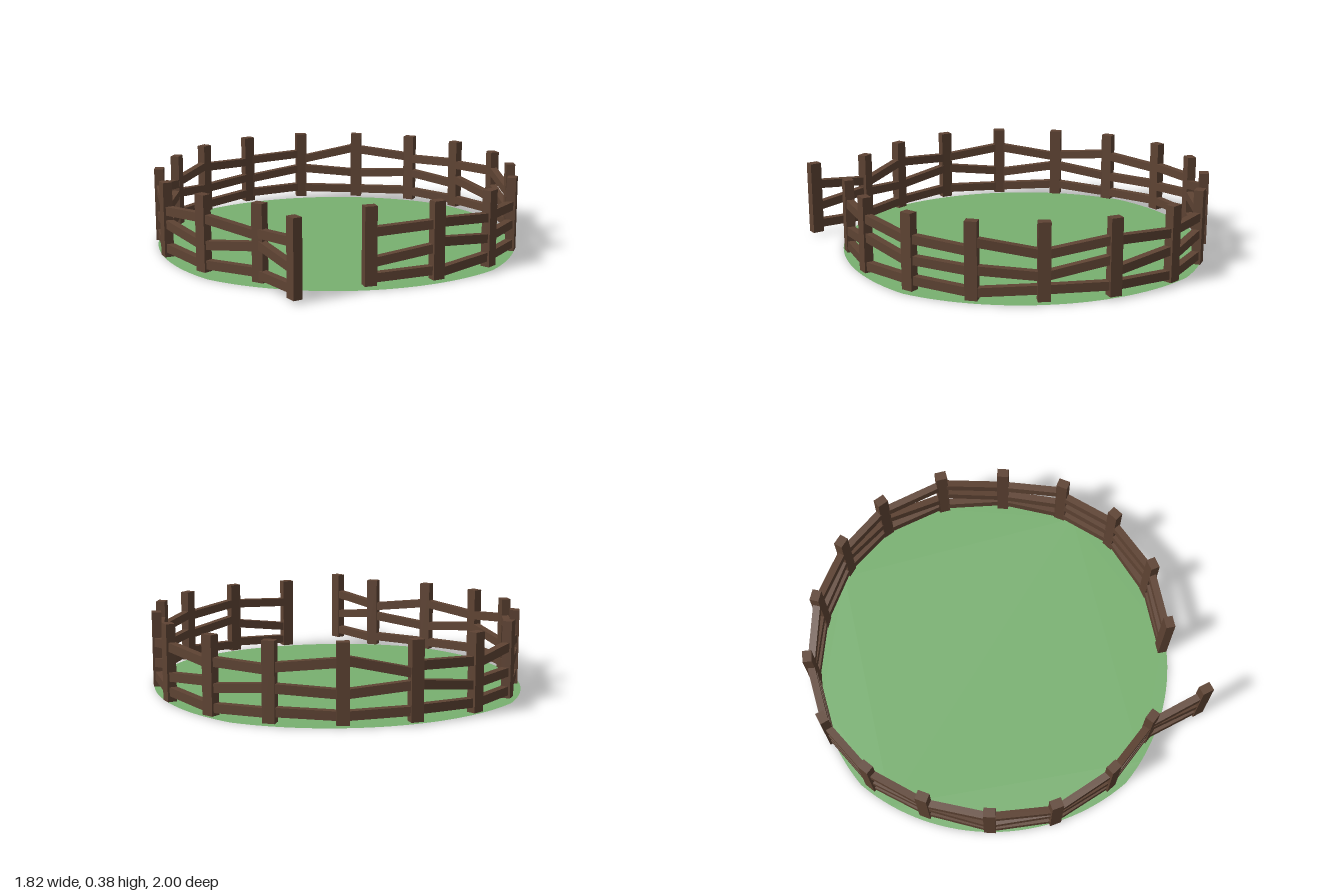
import * as THREE from 'three';

// Post positions [x, z], clockwise from the free end of the gate
const POSTS = [
  [-0.29, 0.965], [-0.425, 0.70], [-0.675, 0.505], [-0.85, 0.23], [-0.89, -0.085], [-0.81, -0.40],
  [-0.665, -0.67], [-0.42, -0.885], [-0.11, -0.972], [0.21, -0.945], [0.505, -0.83], [0.73, -0.635],
  [0.87, -0.33], [0.885, -0.01], [0.82, 0.30], [0.65, 0.56], [0.37, 0.74], [0.055, 0.805],
];

// Rail heights for each span: start and end of the bottom, middle and top rail
const SPANS = [
  [0.06, 0.05, 0.15, 0.19, 0.27, 0.24], [0.06, 0.05, 0.18, 0.14, 0.23, 0.27],
  [0.05, 0.06, 0.14, 0.18, 0.27, 0.24], [0.06, 0.05, 0.18, 0.14, 0.24, 0.28],
  [0.05, 0.07, 0.13, 0.18, 0.28, 0.23], [0.07, 0.05, 0.18, 0.14, 0.24, 0.27],
  [0.05, 0.06, 0.14, 0.15, 0.26, 0.24], [0.06, 0.07, 0.14, 0.18, 0.25, 0.265],
  [0.065, 0.055, 0.18, 0.15, 0.23, 0.30], [0.055, 0.065, 0.15, 0.17, 0.29, 0.26],
  [0.06, 0.05, 0.17, 0.14, 0.25, 0.26], [0.05, 0.065, 0.17, 0.13, 0.25, 0.275],
  [0.065, 0.07, 0.19, 0.13, 0.28, 0.23], [0.07, 0.05, 0.13, 0.155, 0.23, 0.285],
  [0.05, 0.065, 0.15, 0.16, 0.24, 0.26], [0.065, 0.045, 0.15, 0.19, 0.25, 0.28],
  [0.06, 0.05, 0.165, 0.12, 0.275, 0.26],
];

export function createModel() {
  const wood = new THREE.MeshStandardMaterial({ color: 0x5e4333 });
  wood.name = 'brown wood';
  const grass = new THREE.MeshStandardMaterial({ color: 0x78b070, side: THREE.DoubleSide });
  grass.name = 'green grass';

  const model = new THREE.Group();
  model.name = 'paddock';

  // Grass floor: four shallow arcs meeting at soft diagonal corners
  const R = 1.0275, shift = 0.1225, half = 0.6975;
  const outline = new THREE.Shape();
  for (let i = 0; i < 4; i++) {
    const a = i * Math.PI / 2;
    outline.absarc(-shift * Math.cos(a), -shift * Math.sin(a), R, a - half, a + half, false);
  }
  const floor = new THREE.Mesh(new THREE.ShapeGeometry(outline, 16), grass);
  floor.name = 'grassFloor';
  floor.rotation.x = -Math.PI / 2;
  floor.position.z = -0.068;
  model.add(floor);

  // Upright posts, each turned along the fence line
  const postGeometry = new THREE.BoxGeometry(0.045, 0.365, 0.058);
  POSTS.forEach(([x, z], i) => {
    const a = POSTS[i < 2 ? i : i - 1];
    const b = POSTS[i === 0 ? 1 : Math.min(i + 1, POSTS.length - 1)];
    const post = new THREE.Mesh(postGeometry, wood);
    post.name = 'post';
    post.position.set(x, 0.1975, z);
    post.rotation.y = Math.atan2(b[0] - a[0], b[1] - a[1]);
    model.add(post);
  });

  // Sloping rails between neighbouring posts
  SPANS.forEach((heights, i) => {
    const span = new THREE.Group();
    span.name = i === 0 ? 'openGate' : 'fenceSpan';
    const [p, q] = [POSTS[i], POSTS[i + 1]];
    for (let k = 0; k < 6; k += 2) {
      const start = new THREE.Vector3(p[0], heights[k], p[1]);
      const end = new THREE.Vector3(q[0], heights[k + 1], q[1]);
      const rail = new THREE.Mesh(new THREE.BoxGeometry(0.036, 0.042, start.distanceTo(end)), wood);
      rail.name = 'rail';
      rail.position.copy(start).lerp(end, 0.5);
      rail.lookAt(end);
      span.add(rail);
    }
    model.add(span);
  });
  return model;
}
